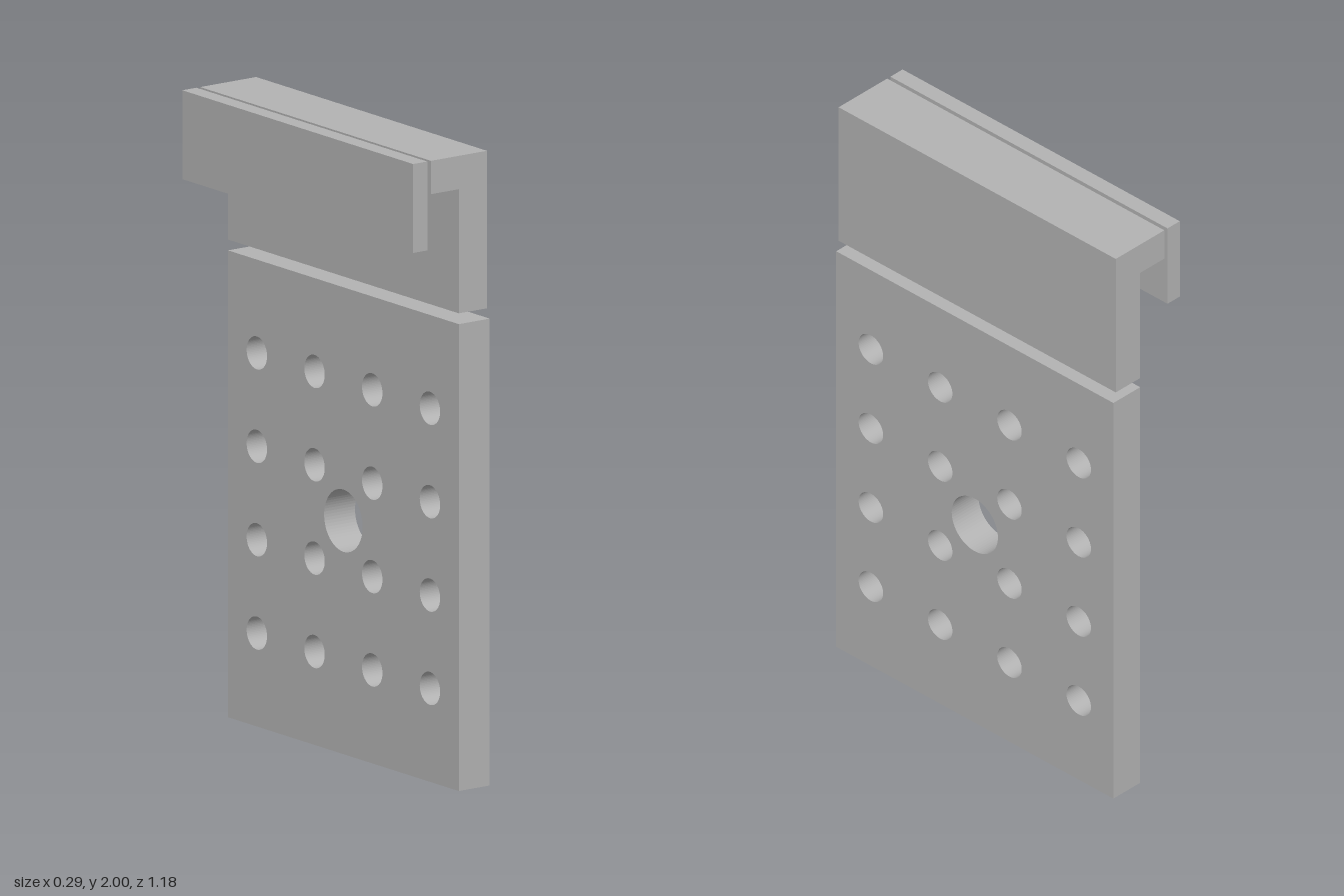
import * as THREE from 'three';

const WIDTH = 1.176; // extent along z of every part
const HALF = WIDTH / 2;

export function createModel() {
  const model = new THREE.Group();
  model.name = 'perforatedHangingPlate';

  const gray = new THREE.MeshStandardMaterial({ color: 0xb2b2b2 });
  gray.name = 'gray';

  const add = (name, geometry) => {
    const mesh = new THREE.Mesh(geometry, gray);
    mesh.name = name;
    model.add(mesh);
  };

  // Polygon in the x/y plane, extruded over the full width
  const profile = (points) => {
    const shape = new THREE.Shape(points.map(([x, y]) => new THREE.Vector2(x, y)));
    return new THREE.ExtrudeGeometry(shape, { depth: WIDTH, bevelEnabled: false })
      .translate(0, 0, -HALF);
  };

  // Lower plate with a 4 x 4 grid of holes and a larger central hole
  const plate = new THREE.Shape();
  plate.moveTo(-HALF, 0);
  plate.lineTo(HALF, 0);
  plate.lineTo(HALF, 1.47);
  plate.lineTo(-HALF, 1.47);
  plate.closePath();
  const drill = (u, v, radius) => {
    const hole = new THREE.Path();
    hole.absarc(u, v, radius, 0, Math.PI * 2, true);
    plate.holes.push(hole);
  };
  for (let row = 1; row <= 4; row++) {
    for (let col = 0; col < 4; col++) drill((col - 1.5) * 0.294, row * 0.294, 0.052);
  }
  drill(0, 0.735, 0.098);
  add('perforatedPlate',
    new THREE.ExtrudeGeometry(plate, { depth: 0.118, bevelEnabled: false, curveSegments: 32 })
      .rotateY(Math.PI / 2)
      .translate(0.0275, 0, 0));

  // L-shaped bracket above the plate
  add('upperBracket', profile([
    [0.0275, 1.504], [0.135, 1.504], [0.135, 2],
    [-0.079, 2], [-0.079, 1.895], [0.0275, 1.895],
  ]));

  // Separate strip hanging beside the bracket
  add('hookLip', profile([[-0.147, 1.72], [-0.093, 1.72], [-0.093, 2], [-0.147, 2]]));

  return model;
}
